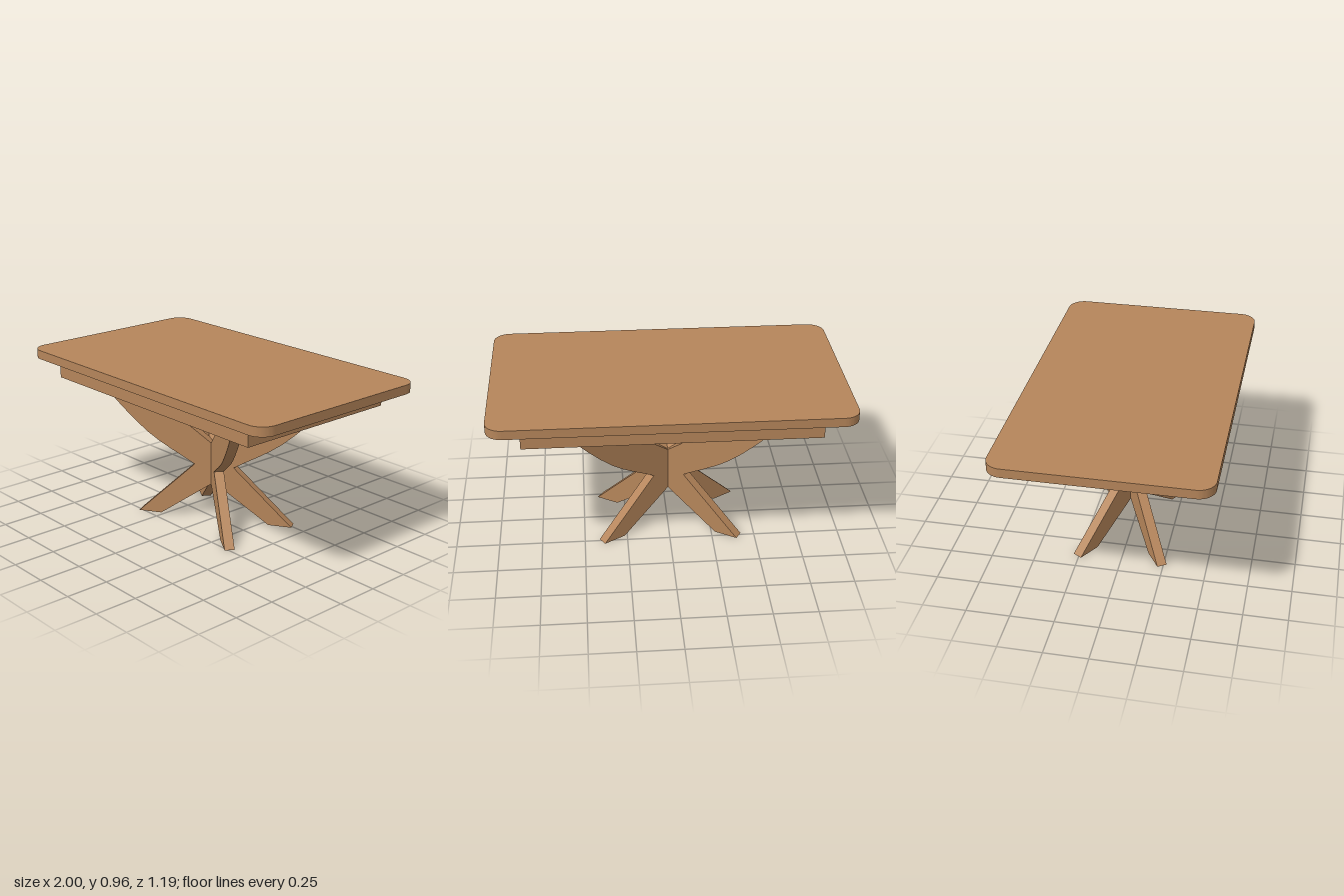
import * as THREE from 'three';
import { toCreasedNormals } from 'three/addons/utils/BufferGeometryUtils.js';

const TOP_Y = 0.963, TOP_UNDER = 0.91, APRON_UNDER = 0.8;

export function createModel() {
  const table = new THREE.Group();
  table.name = 'diningTable';
  const wood = new THREE.MeshStandardMaterial({ color: 0xb5855a });
  wood.name = 'warm wood';

  const add = (geometry, name) => {
    const mesh = new THREE.Mesh(geometry, wood);
    mesh.name = name;
    table.add(mesh);
    return mesh;
  };

  // Table top: two halves meeting at x = 0, outer corners rounded
  const hx = 1, hz = 0.593, r = 0.095;
  const half = new THREE.Shape();
  half.moveTo(0, -hz);
  half.lineTo(hx - r, -hz);
  half.absarc(hx - r, -hz + r, r, -Math.PI / 2, 0, false);
  half.absarc(hx - r, hz - r, r, 0, Math.PI / 2, false);
  half.lineTo(0, hz);
  half.closePath();
  const topGeometry = toCreasedNormals(new THREE.ExtrudeGeometry(half, {
    depth: TOP_Y - TOP_UNDER, bevelEnabled: false, curveSegments: 10,
  }).rotateX(-Math.PI / 2), 0.6);
  ['topLeft', 'topRight'].forEach((name, i) => {
    const mesh = add(topGeometry, name);
    mesh.position.y = TOP_UNDER;
    mesh.rotation.y = i * Math.PI;
  });

  // Apron: long rails run full length, end rails sit between them
  const ax = 0.82, az = 0.51, board = 0.018;
  const apronH = TOP_UNDER - APRON_UNDER, apronY = (TOP_UNDER + APRON_UNDER) / 2;
  for (const s of [1, -1]) {
    add(new THREE.BoxGeometry(ax * 2, apronH, board), s > 0 ? 'apronFront' : 'apronBack')
      .position.set(0, apronY, s * (az - board / 2));
    add(new THREE.BoxGeometry(board, apronH, (az - board) * 2), s > 0 ? 'apronLeft' : 'apronRight')
      .position.set(s * (ax - board / 2), apronY, 0);
  }

  // X-shaped leg board: curved arms above the waist, straight feet below
  const curve = (points) => new THREE.CatmullRomCurve3(
    points.map(([x, y]) => new THREE.Vector3(x, y, 0))).getPoints(12);
  const right = [
    new THREE.Vector3(0, 0.235, 0),
    new THREE.Vector3(0.335, 0, 0),
    new THREE.Vector3(0.475, 0, 0),
    ...curve([[0.12, 0.34], [0.41, 0.515], [0.7, 0.8], [0.79, TOP_UNDER]]),
    ...curve([[0.65, TOP_UNDER], [0.49, 0.8], [0.26, 0.656], [0, 0.47]]),
  ];
  const left = right.slice(1, -1).reverse().map((p) => new THREE.Vector3(-p.x, p.y, 0));
  const outline = new THREE.Shape([...right, ...left].map((p) => new THREE.Vector2(p.x, p.y)));
  const thickness = 0.058;
  const legGeometry = toCreasedNormals(new THREE.ExtrudeGeometry(outline, {
    depth: thickness, bevelEnabled: false,
  }).translate(0, 0, -thickness / 2), 0.4);

  // Two boards cross on the diagonals of the table
  for (const s of [1, -1]) {
    const leg = add(legGeometry, s > 0 ? 'crossLegA' : 'crossLegB');
    leg.rotation.y = s * THREE.MathUtils.degToRad(32);
    leg.position.set(-0.004, 0, -0.008);
  }
  return table;
}
